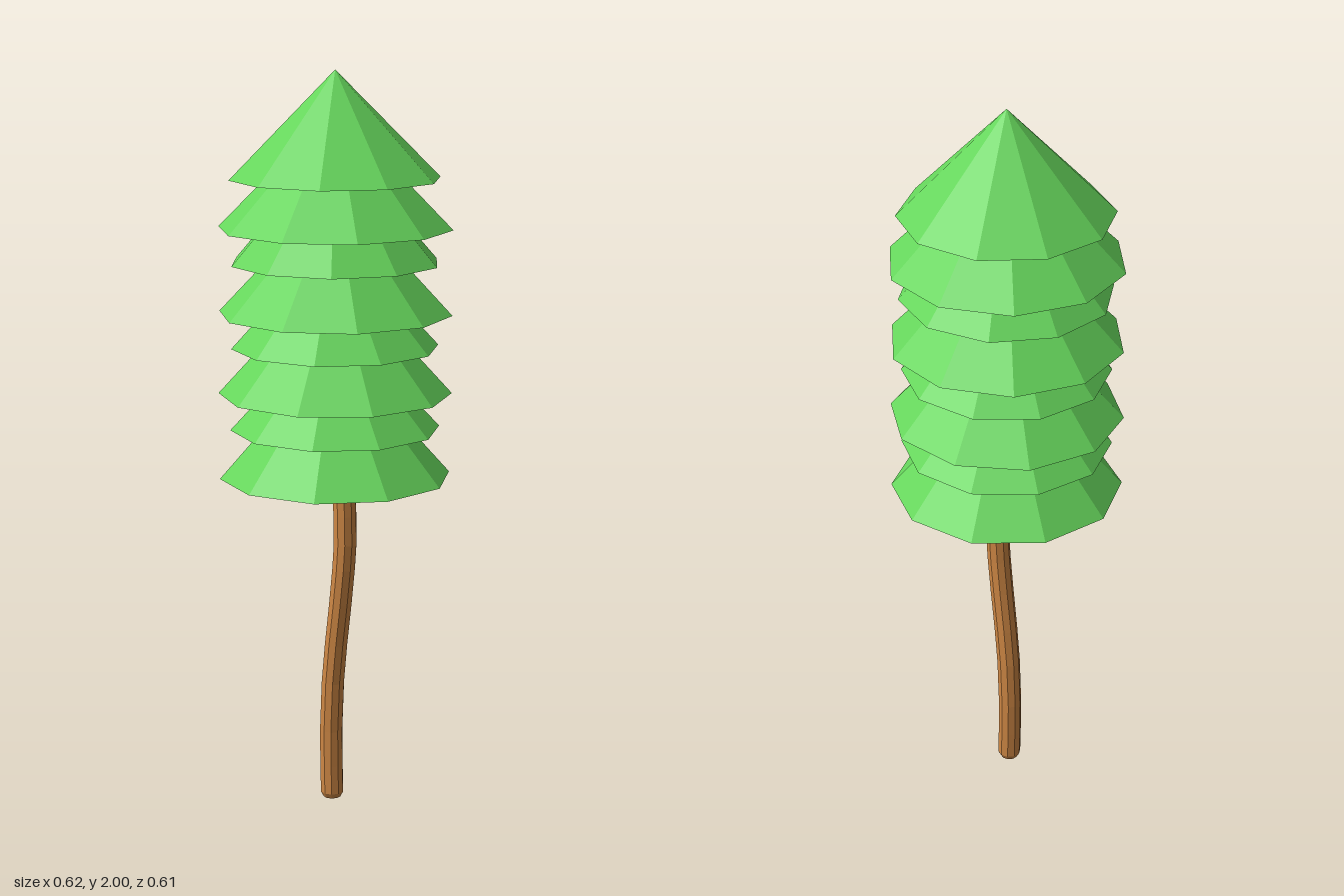
import * as THREE from 'three';

const leaf = new THREE.MeshStandardMaterial({ color: 0x66d65c, flatShading: true });
leaf.name = 'leaf green';
const bark = new THREE.MeshStandardMaterial({ color: 0xcf8845, flatShading: true });
bark.name = 'bark brown';

// Tiers from bottom to top: base height, radius, cone height, twist in degrees
const TIERS = [
  [0.925, 0.31, 0.35, 28],
  [1.055, 0.28, 0.3, 26],
  [1.15, 0.31, 0.34, 20],
  [1.275, 0.276, 0.3, 27],
  [1.365, 0.31, 0.33, 12.5],
  [1.5, 0.28, 0.32, 0],
  [1.59, 0.31, 0.315, 12.5],
  [1.72, 0.28, 0.28, 30],
];

// Trunk rings: height, radius, sideways bend
const RINGS = [
  [0.005, 0.024, -0.011],
  [0.02, 0.032, -0.011],
  [0.1, 0.032, -0.013],
  [0.2, 0.032, -0.014],
  [0.34, 0.032, -0.008],
  [0.45, 0.032, 0.003],
  [0.57, 0.032, 0.018],
  [0.67, 0.032, 0.029],
  [0.74, 0.032, 0.034],
  [0.82, 0.032, 0.033],
  [0.98, 0.032, 0.026],
];

function createTrunk() {
  // Closed at the foot, then one profile point per ring
  const profile = [new THREE.Vector2(0, 0), ...RINGS.map(([y, r]) => new THREE.Vector2(r, y))];
  const geometry = new THREE.LatheGeometry(profile, 10);
  // Shift every ring sideways to follow the bend
  const bends = [RINGS[0][2], ...RINGS.map((ring) => ring[2])];
  const pos = geometry.attributes.position;
  for (let i = 0; i < pos.count; i++) {
    pos.setX(i, pos.getX(i) + bends[i % bends.length]);
  }
  geometry.computeVertexNormals();
  const trunk = new THREE.Mesh(geometry, bark);
  trunk.name = 'trunk';
  return trunk;
}

function createFoliage() {
  const foliage = new THREE.Group();
  foliage.name = 'foliage';
  TIERS.forEach(([base, radius, height, twist], i) => {
    const tier = new THREE.Mesh(new THREE.ConeGeometry(radius, height, 10), leaf);
    tier.position.y = base + height / 2;
    tier.rotation.y = THREE.MathUtils.degToRad(twist);
    tier.name = `foliageTier${i + 1}`;
    foliage.add(tier);
  });
  return foliage;
}

export function createModel() {
  const tree = new THREE.Group();
  tree.name = 'tree';
  tree.add(createTrunk(), createFoliage());
  return tree;
}
